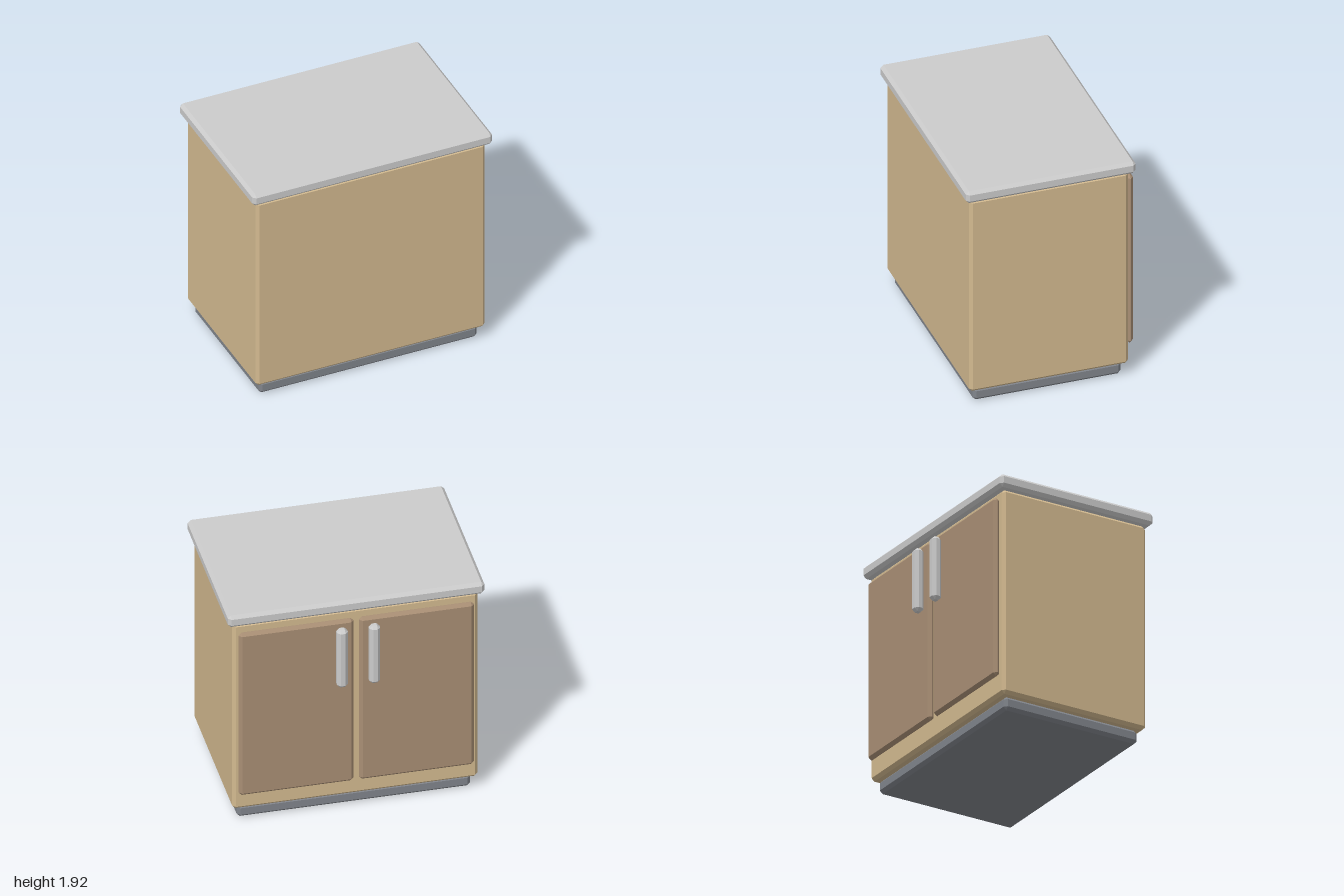
import * as THREE from 'three';
import { ConvexGeometry } from 'three/addons/geometries/ConvexGeometry.js';

const CHAMFER = 0.025;

const paint = (color) => new THREE.MeshStandardMaterial({ color, flatShading: true });
const wood = paint(0xd2b98f);
const doorWood = paint(0xa88e74);
const stone = paint(0xc4c6c6);
const plinthGrey = paint(0x80848b);
const metal = paint(0xc2c4c6);

// Box with every edge and corner cut at 45 degrees, given by its extents
function chamferedBox(name, material, [x0, x1], [y0, y1], [z0, z1], c = CHAMFER) {
  const half = [(x1 - x0) / 2, (y1 - y0) / 2, (z1 - z0) / 2];
  const points = [];
  for (const sx of [-1, 1]) for (const sy of [-1, 1]) for (const sz of [-1, 1]) {
    for (let face = 0; face < 3; face++) {
      // only the face's own axis reaches full size
      const [x, y, z] = half.map((h, axis) => (axis === face ? h : h - c));
      points.push(new THREE.Vector3(sx * x, sy * y, sz * z));
    }
  }
  const mesh = new THREE.Mesh(new ConvexGeometry(points), material);
  mesh.name = name;
  mesh.position.set((x0 + x1) / 2, (y0 + y1) / 2, (z0 + z1) / 2);
  return mesh;
}

export function createModel() {
  const cabinet = new THREE.Group();
  cabinet.name = 'cabinet';

  // Recessed plinth, carcass and overhanging worktop
  cabinet.add(
    chamferedBox('plinth', plinthGrey, [-0.91, 0.91], [0, 0.11], [-0.55, 0.64]),
    chamferedBox('body', wood, [-0.955, 0.955], [0.11, 1.812], [-0.595, 0.685]),
    chamferedBox('worktop', stone, [-1, 1], [1.812, 1.917], [-0.64, 0.725]),
  );

  // Pair of doors with upright handles on the back face
  for (const [side, s] of [['left', 1], ['right', -1]]) {
    const span = (a, b) => [s * a, s * b].sort((p, q) => p - q);
    cabinet.add(
      chamferedBox(side + 'Door', doorWood, span(0.021, 0.917), [0.26, 1.75], [-0.647, -0.594], 0.024),
      chamferedBox(side + 'Handle', metal, span(0.083, 0.168), [1.18, 1.708], [-0.725, -0.645]),
    );
  }
  return cabinet;
}
